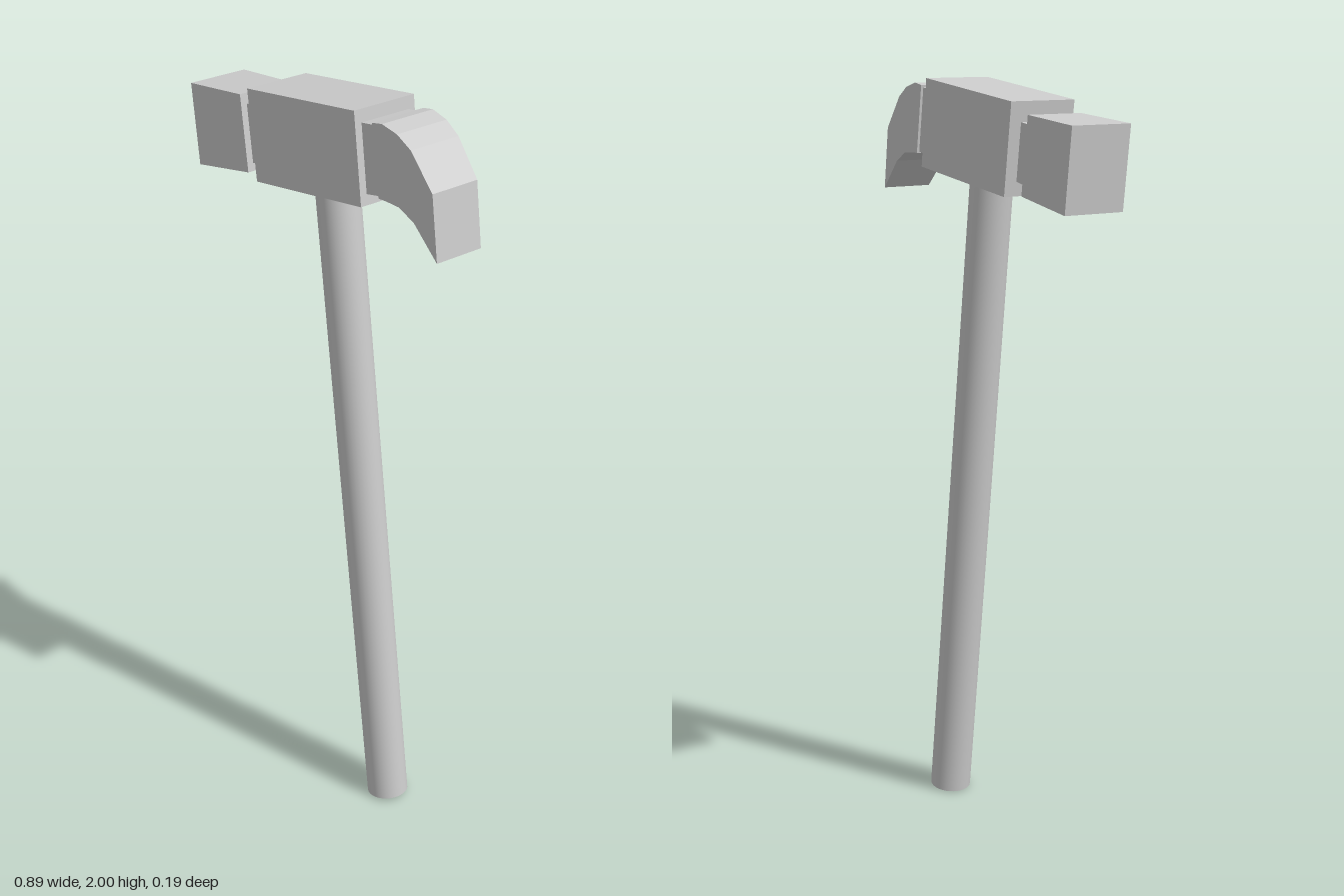
import * as THREE from 'three';

const material = new THREE.MeshStandardMaterial({ color: 0xcccccc, flatShading: true });
const smoothMaterial = new THREE.MeshStandardMaterial({ color: 0xcccccc });

// The head is turned very slightly about the vertical axis.
const midZ = (x) => -0.012 * x;

// Lofts rectangular sections running towards +x.
// Each section: [top x, top y, bottom x, bottom y, half depth]
function loft(name, sections) {
  const rings = sections.map(([tx, ty, bx, by, h]) => [
    [tx, ty, midZ(tx) + h], [tx, ty, midZ(tx) - h],
    [bx, by, midZ(bx) - h], [bx, by, midZ(bx) + h],
  ]);
  const positions = [];
  const quad = (a, b, c, d) => positions.push(...a, ...b, ...c, ...a, ...c, ...d);
  for (let i = 0; i < rings.length - 1; i++) {
    const a = rings[i], b = rings[i + 1];
    for (let j = 0; j < 4; j++) {
      const k = (j + 1) % 4;
      quad(a[j], b[j], b[k], a[k]);
    }
  }
  quad(...rings[0]);
  quad(...[...rings[rings.length - 1]].reverse());
  const geometry = new THREE.BufferGeometry();
  geometry.setAttribute('position', new THREE.Float32BufferAttribute(positions, 3));
  geometry.computeVertexNormals();
  const mesh = new THREE.Mesh(geometry, material);
  mesh.name = name;
  return mesh;
}

export function createModel() {
  const group = new THREE.Group();
  group.name = 'hammer';

  // Round handle, leaning and set into the head
  const foot = new THREE.Vector3(0.243, 0.007, 0);
  const top = new THREE.Vector3(0.012, 1.82, 0);
  const axis = top.clone().sub(foot);
  const handle = new THREE.Mesh(
    new THREE.CylinderGeometry(0.056, 0.056, axis.length(), 32), smoothMaterial);
  handle.name = 'handle';
  handle.position.copy(foot).add(top).multiplyScalar(0.5);
  handle.quaternion.setFromUnitVectors(new THREE.Vector3(0, 1, 0), axis.normalize());
  group.add(handle);

  // Head: striking block, neck, central block, neck and curved claw
  group.add(
    loft('strikingBlock', [
      [-0.444, 1.91, -0.418, 1.70, 0.085],
      [-0.254, 1.926, -0.228, 1.73, 0.078],
    ]),
    loft('strikingNeck', [
      [-0.26, 1.898, -0.24, 1.748, 0.06],
      [-0.18, 1.908, -0.16, 1.766, 0.06],
    ]),
    loft('headBlock', [
      [-0.206, 1.956, -0.175, 1.725, 0.093],
      [0.184, 2.0, 0.211, 1.773, 0.093],
    ]),
    loft('clawNeck', [
      [0.16, 1.965, 0.18, 1.795, 0.073],
      [0.24, 1.975, 0.265, 1.81, 0.073],
    ]),
    loft('claw', [
      [0.231, 1.981, 0.256, 1.805, 0.08],
      [0.263, 1.986, 0.28, 1.805, 0.079],
      [0.311, 1.974, 0.323, 1.802, 0.077],
      [0.354, 1.947, 0.37, 1.777, 0.074],
      [0.423, 1.862, 0.444, 1.70, 0.07],
    ]),
  );
  return group;
}
